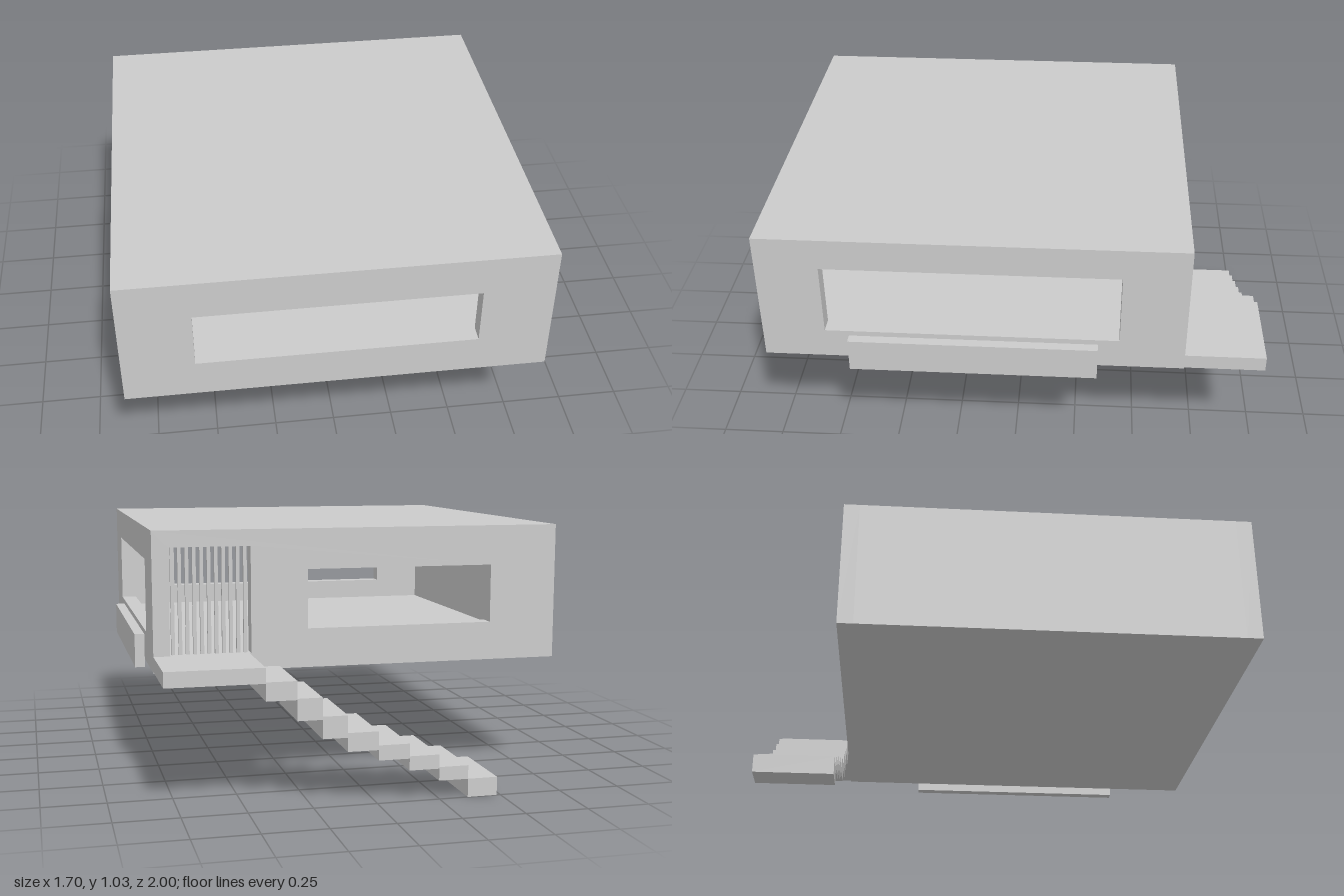
import * as THREE from 'three';

const X0 = -0.85, X1 = 0.806, Y0 = 0.48, Y1 = 1.03, Z0 = -0.68, Z1 = 1, T = 0.065;

export function createModel() {
  const model = new THREE.Group();
  model.name = 'raisedHouse';
  const grey = new THREE.MeshStandardMaterial({ color: 0xcccccc, flatShading: true });

  const add = (name, geometry, parent = model) => {
    const mesh = new THREE.Mesh(geometry, grey);
    mesh.name = name;
    parent.add(mesh);
    return mesh;
  };
  // Box given by its limits on each axis
  const box = (name, x0, x1, y0, y1, z0, z1, parent) =>
    add(name, new THREE.BoxGeometry(x1 - x0, y1 - y0, z1 - z0)
      .translate((x0 + x1) / 2, (y0 + y1) / 2, (z0 + z1) / 2), parent);
  const rect = (Type, u0, u1, v0, v1) =>
    new Type([[u0, v0], [u1, v0], [u1, v1], [u0, v1]].map(p => new THREE.Vector2(...p)));
  // Wall of thickness T with rectangular openings [u0, u1, v0, v1]
  const wall = (u0, u1, openings) => {
    const shape = rect(THREE.Shape, u0, u1, Y0, Y1);
    shape.holes = openings.map(o => rect(THREE.Path, ...o));
    return new THREE.ExtrudeGeometry(shape, { depth: T, bevelEnabled: false });
  };

  // Shell: walls with windows and a doorway, floor and roof
  const door = [0.423, X1 - T, Y0 + T, Y1 - T];
  add('frontWall', wall(X0, X1, [[-0.57, 0.525, 0.635, 0.87]])).position.z = Z1 - T;
  add('backWall', wall(X0, X1, [[-0.57, 0.195, 0.635, 0.87], door])).position.z = Z0;
  const side = wall(Z0 + T, Z1 - T, [[-0.42, 0.75, 0.605, 0.9]]).rotateY(-Math.PI / 2);
  add('leftWall', side).position.x = X1;
  box('rightWall', X0, X0 + T, Y0, Y1, Z0 + T, Z1 - T);
  box('floor', X0 + T, X1 - T, Y0, Y0 + T, Z0 + T, Z1 - T);
  box('roof', X0 + T, X1 - T, Y1 - T, Y1, Z0 + T, Z1 - T);

  // Barred door
  const bars = new THREE.Group();
  bars.name = 'doorBars';
  model.add(bars);
  for (let i = 0; i < 11; i++) {
    const x = 0.441 + i * 0.0285;
    box('doorBar', x - 0.007, x + 0.007, door[2], door[3], -0.655, -0.641, bars);
  }

  // Ledge below the side window
  box('sideLedge', X1, 0.846, 0.445, 0.583, -0.335, 0.655);

  // Landing and stairs: each step is [x0, x1, y0, y1]
  const stairs = new THREE.Group();
  stairs.name = 'stairs';
  model.add(stairs);
  box('landing', 0.43, X1, 0.485, Y0 + T, -1, Z0, stairs);
  [
    [-0.485, -0.365, 0, 0.073],
    [-0.365, -0.247, 0.073, 0.127],
    [-0.247, -0.127, 0.121, 0.177],
    [-0.127, -0.004, 0.168, 0.227],
    [-0.004, 0.117, 0.209, 0.282],
    [0.117, 0.215, 0.264, 0.35],
    [0.215, 0.311, 0.338, 0.423],
    [0.311, 0.43, 0.418, 0.49],
  ].forEach(s => box('step', ...s, -1, Z0, stairs));

  return model;
}
